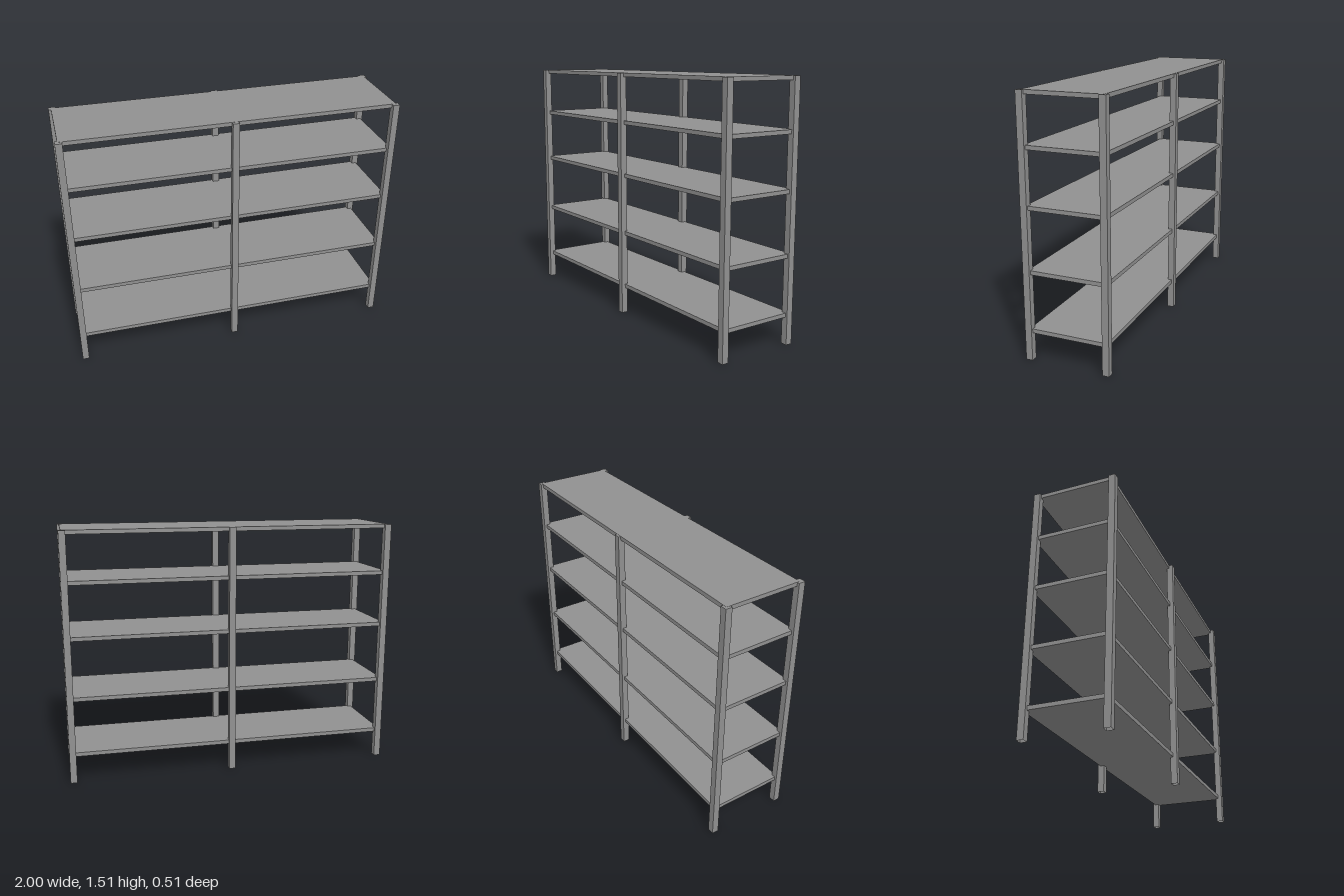
import * as THREE from 'three';

export function createModel() {
  const model = new THREE.Group();
  model.name = 'shelvingUnit';
  const material = new THREE.MeshStandardMaterial({ color: 0x909090, flatShading: true, side: THREE.DoubleSide });

  function addPart(name, geometry, x, y, z) {
    const mesh = new THREE.Mesh(geometry, material);
    mesh.name = name;
    mesh.position.set(x, y, z);
    model.add(mesh);
  }

  // Six square uprights, hollow and open at the foot: three in front, three behind
  const postWidth = 0.04, postHeight = 1.507;
  const post = new THREE.BoxGeometry(postWidth, postHeight, postWidth);
  const faces = Array.from(post.index.array);
  faces.splice(18, 6); // drop the bottom face
  post.setIndex(faces);
  post.clearGroups();
  const columns = { Right: -0.98, Middle: 0, Left: 0.98 };
  const rows = { front: 0.235, back: -0.235 };
  for (const [row, z] of Object.entries(rows)) {
    for (const [column, x] of Object.entries(columns)) {
      addPart(`${row}${column}Post`, post, x, postHeight / 2, z);
    }
  }

  // Five full-length boards let into the posts, listed by top height
  const thickness = 0.024;
  const shelf = new THREE.BoxGeometry(1.972, thickness, 0.472);
  [0.186, 0.529, 0.893, 1.22, 1.508].forEach((top, i) => {
    addPart(`shelf${i + 1}`, shelf, 0.001, top - thickness / 2, -0.004);
  });

  return model;
}
